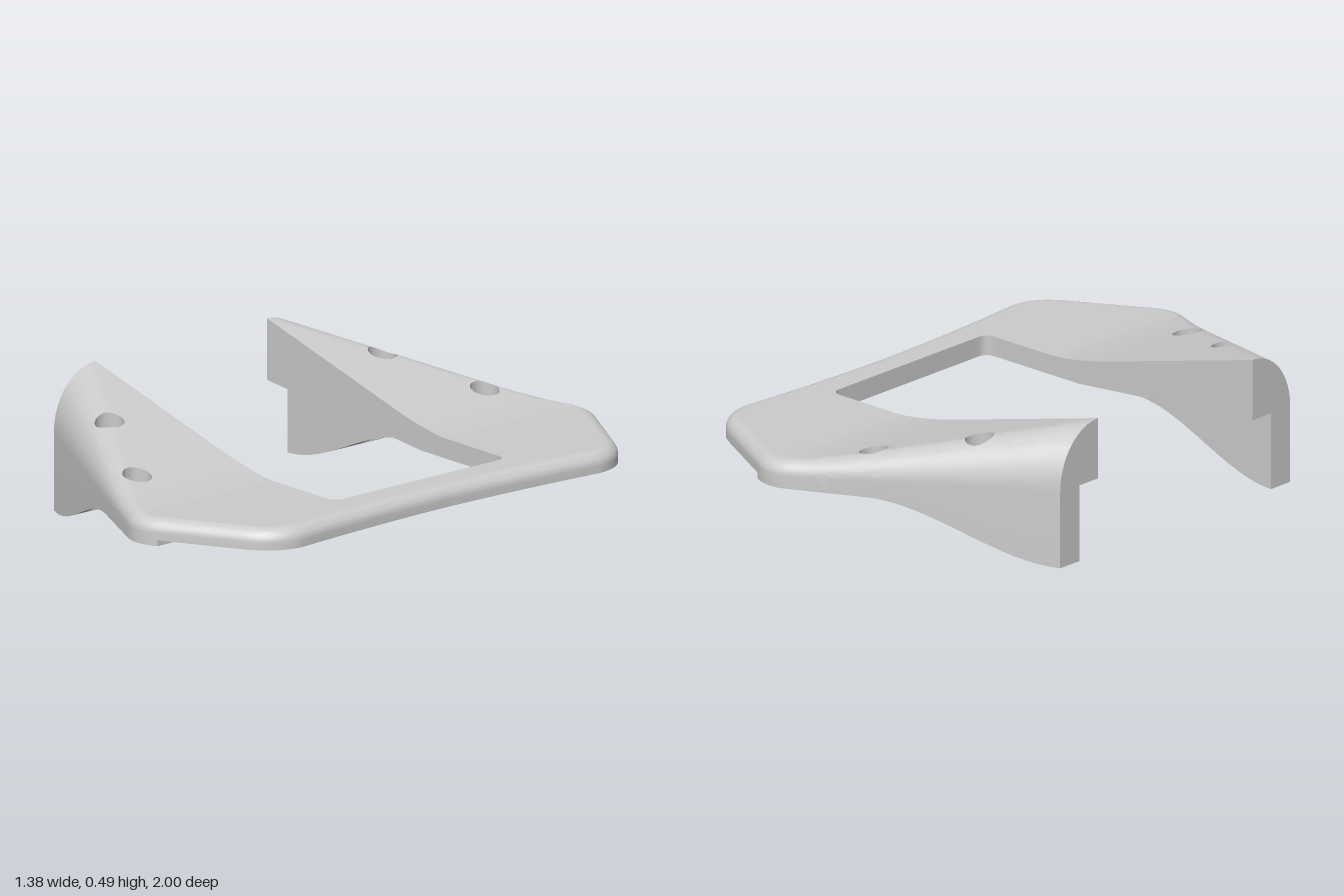
import * as THREE from 'three';
import { toCreasedNormals } from 'three/addons/utils/BufferGeometryUtils.js';

const { lerp, clamp, smoothstep } = THREE.MathUtils;
const V2 = (x, z) => new THREE.Vector2(x, z);
const X0 = -0.69, INNER = 0.38, GROOVE = 0.47, PEAK = 0.16;

// Heights along the arm
const along = x => clamp((x - X0) / (PEAK - X0), 0, 1);
const crest = x => x < -0.04 ? 0.485 - 0.2615 * (x - X0)
  : 0.27 + 0.045 * Math.pow(clamp((0.22 - x) / 0.26, 0, 1), 1.5);
const shoulder = x => lerp(0.27, 0.225, along(x));           // lower end of the rounded edge
const padBottom = x => 0.18 * smoothstep(x, X0, -0.08);
const underside = x => 0.2 + 0.07 * clamp((0.1 - x) / 0.79, 0, 1);
const armEdge = x => lerp(0.565, 0.98, (x - X0) / (PEAK - X0));
const roundWidth = x => lerp(0.185, 0.056, along(x));
const topY = (x, z) => {
  if (x >= PEAK) return crest(x);
  const k = clamp((armEdge(x) - z) / roundWidth(x), 0, 1);
  return lerp(shoulder(x), crest(x), Math.sqrt(1 - (1 - k) ** 2));
};

// Plan curves of the z > 0 half
const line = (x0, z0, x1, z1, n) =>
  Array.from({ length: n + 1 }, (_, i) => V2(lerp(x0, x1, i / n), lerp(z0, z1, i / n)));
const bend = (x0, z0, cx, cz, x1, z1, n) =>
  new THREE.QuadraticBezierCurve(V2(x0, z0), V2(cx, cz), V2(x1, z1)).getPoints(n);
const join = (...runs) => runs.flatMap((r, i) => i ? r.slice(1) : r);
const circle = (x, z, r, n = 32) => Array.from({ length: n + 1 }, (_, i) =>
  V2(x + r * Math.cos(i / n * 2 * Math.PI), z + r * Math.sin(i / n * 2 * Math.PI)));

const ARM_STEPS = 40, PAD_END = ARM_STEPS + 12;
const outer = join(
  line(X0, 0.565, PEAK, 0.98, ARM_STEPS),
  bend(PEAK, 0.98, 0.235, 1.02, 0.31, 0.975, 12),
  line(0.31, 0.975, 0.57, 0.83, 8),
  bend(0.57, 0.83, 0.68, 0.77, 0.685, 0.66, 12),
  bend(0.685, 0.66, 0.652, 0.3, 0.65, 0, 16));
const slot = join(
  line(0.525, 0, 0.525, 0.34, 8),
  bend(0.525, 0.34, 0.525, 0.38, 0.485, INNER, 6),
  line(0.485, INNER, X0, INNER, 46));
const padFront = new THREE.SplineCurve(
  [V2(0.31, 0.975), V2(0.3, 0.86), V2(0.24, 0.74), V2(0.16, 0.63), V2(0.12, GROOVE)]).getPoints(24);
const groove = line(0.12, GROOVE, X0, GROOVE, 32);

const screws = [[-0.36, 0.605], [-0.03, 0.77]];
const recess = [0.59, 0.18, 0.045];

// Every triangle is stored together with its mirror image across z = 0
let tris = [];
function tri(a, b, c) {
  tris.push(...a, ...b, ...c);
  for (const p of [a, c, b]) tris.push(p[0], p[1], -p[2]);
}
function strip(low, high) {
  for (let i = 0; i + 1 < low.length; i++) {
    tri(low[i], low[i + 1], high[i + 1]);
    tri(low[i], high[i + 1], high[i]);
  }
}
function wall(points, yTop, yLow) {
  strip(points.map(p => [p.x, yLow(p.x, p.y), p.y]), points.map(p => [p.x, yTop(p.x, p.y), p.y]));
}
// Plan polygon, split finely and lifted to a height rule
function sheet(contour, holes, yFn, faceUp, maxEdge = 0.03) {
  const c = contour.slice(), hs = holes.map(h => h.slice());
  const faces = THREE.ShapeUtils.triangulateShape(c, hs);
  const pts = c.concat(...hs);
  const lift = p => [p.x, yFn(p.x, p.y), p.y];
  const stack = faces.map(f => f.map(i => pts[i]));
  while (stack.length) {
    const [a, b, d] = stack.pop();
    const ab = a.distanceTo(b), bd = b.distanceTo(d), da = d.distanceTo(a);
    const longest = Math.max(ab, bd, da);
    if (longest > maxEdge) {
      const [p, q, r] = longest === ab ? [a, b, d] : longest === bd ? [b, d, a] : [d, a, b];
      const m = V2((p.x + q.x) / 2, (p.y + q.y) / 2);
      stack.push([p, m, r], [m, q, r]);
      continue;
    }
    const up = (b.y - a.y) * (d.x - a.x) - (b.x - a.x) * (d.y - a.y) > 0;
    if (up === faceUp) tri(lift(a), lift(b), lift(d));
    else tri(lift(a), lift(d), lift(b));
  }
}

function buildFrame() {
  // Rounded outer edge, wide on the arms and narrow round the plate
  const STEPS = 8;
  const rows = Array.from({ length: STEPS + 1 }, () => []);
  outer.forEach((p, i) => {
    const prev = outer[Math.max(i - 1, 0)], next = outer[Math.min(i + 1, outer.length - 1)];
    const t = next.clone().sub(prev).normalize();
    let dir = V2(t.y, -t.x), w = 0.05, cover = 1;
    if (i <= ARM_STEPS) {
      dir = V2(0, -1);
      w = roundWidth(p.x);
      cover = lerp(0.35, 1, clamp(p.x / PEAK, 0, 1));
    }
    if (i === outer.length - 1) dir = V2(-1, 0);
    const sweep = Math.acos(1 - cover);
    rows.forEach((row, j) => {
      const a = sweep * j / STEPS, q = p.clone().addScaledVector(dir, w * (1 - Math.cos(a)));
      row.push([q.x, lerp(shoulder(p.x), crest(p.x), Math.sin(a)), q.y]);
    });
  });
  for (let j = 0; j < STEPS; j++) strip(rows[j], rows[j + 1]);

  // Top face
  const rim = rows[STEPS].map(p => V2(p[0], p[2]));
  sheet([...rim, ...slot], screws.map(([x, z]) => circle(x, z, 0.05)), topY, true);

  // Side walls
  const pad = outer.slice(0, PAD_END + 1), front = outer.slice(PAD_END);
  wall(pad, shoulder, padBottom);
  wall(front, shoulder, underside);
  wall(slot, crest, underside);
  wall(padFront, underside, padBottom);
  wall(groove, underside, padBottom);

  // Undersides of the mounting pad and of the plate
  sheet([...pad, ...padFront.slice(1), ...groove.slice(1)],
    screws.map(([x, z]) => circle(x, z, 0.075)), padBottom, false);
  sheet([...front, ...slot, ...groove.slice().reverse(), ...padFront.slice(0, -1).reverse().slice(0, -1)],
    [circle(...recess)], underside, false);

  // End face of the arm
  const end = [];
  for (let j = 0; j <= 16; j++) {
    const a = Math.PI / 2 * (1 - j / 16);
    end.push(V2(0.565 - 0.185 * (1 - Math.cos(a)), lerp(shoulder(X0), crest(X0), Math.sin(a))));
  }
  end.push(V2(0.565, 0), V2(GROOVE, 0), V2(GROOVE, underside(X0)), V2(INNER, underside(X0)));
  for (const f of THREE.ShapeUtils.triangulateShape(end.slice(), [])) {
    const [a, b, c] = f.map(i => end[i]);
    const facesBack = (b.x - a.x) * (c.y - a.y) - (b.y - a.y) * (c.x - a.x) > 0;
    const at = p => [X0, p.y, p.x];
    if (facesBack) tri(at(a), at(b), at(c));
    else tri(at(a), at(c), at(b));
  }
}

// Stepped screw holes through the arms
function buildScrewHoles() {
  const HIGH = 0.25, LOW = 0.21;
  for (const [x, z] of screws) {
    const head = circle(x, z, 0.05), shank = circle(x, z, 0.03), bore = circle(x, z, 0.075);
    wall(head, topY, () => HIGH);
    wall(shank, () => HIGH, () => LOW);
    wall(bore, () => LOW, padBottom);
    sheet(head, [shank], () => HIGH, true, 1);
    sheet(bore, [shank], () => LOW, false, 1);
  }
}

// Blind recesses under the cross bar
function buildRecesses() {
  const ring = circle(...recess);
  wall(ring, () => 0.245, underside);
  sheet(ring, [], () => 0.245, false, 1);
}

export function createModel() {
  const model = new THREE.Group();
  model.name = 'mountingBracket';
  const material = new THREE.MeshStandardMaterial({ color: 0xcccccc });
  const parts = { frame: buildFrame, screwHoles: buildScrewHoles, barRecesses: buildRecesses };
  for (const [name, build] of Object.entries(parts)) {
    tris = [];
    build();
    const geometry = new THREE.BufferGeometry();
    geometry.setAttribute('position', new THREE.Float32BufferAttribute(tris, 3));
    const mesh = new THREE.Mesh(toCreasedNormals(geometry, 0.6), material);
    mesh.name = name;
    model.add(mesh);
  }
  return model;
}
